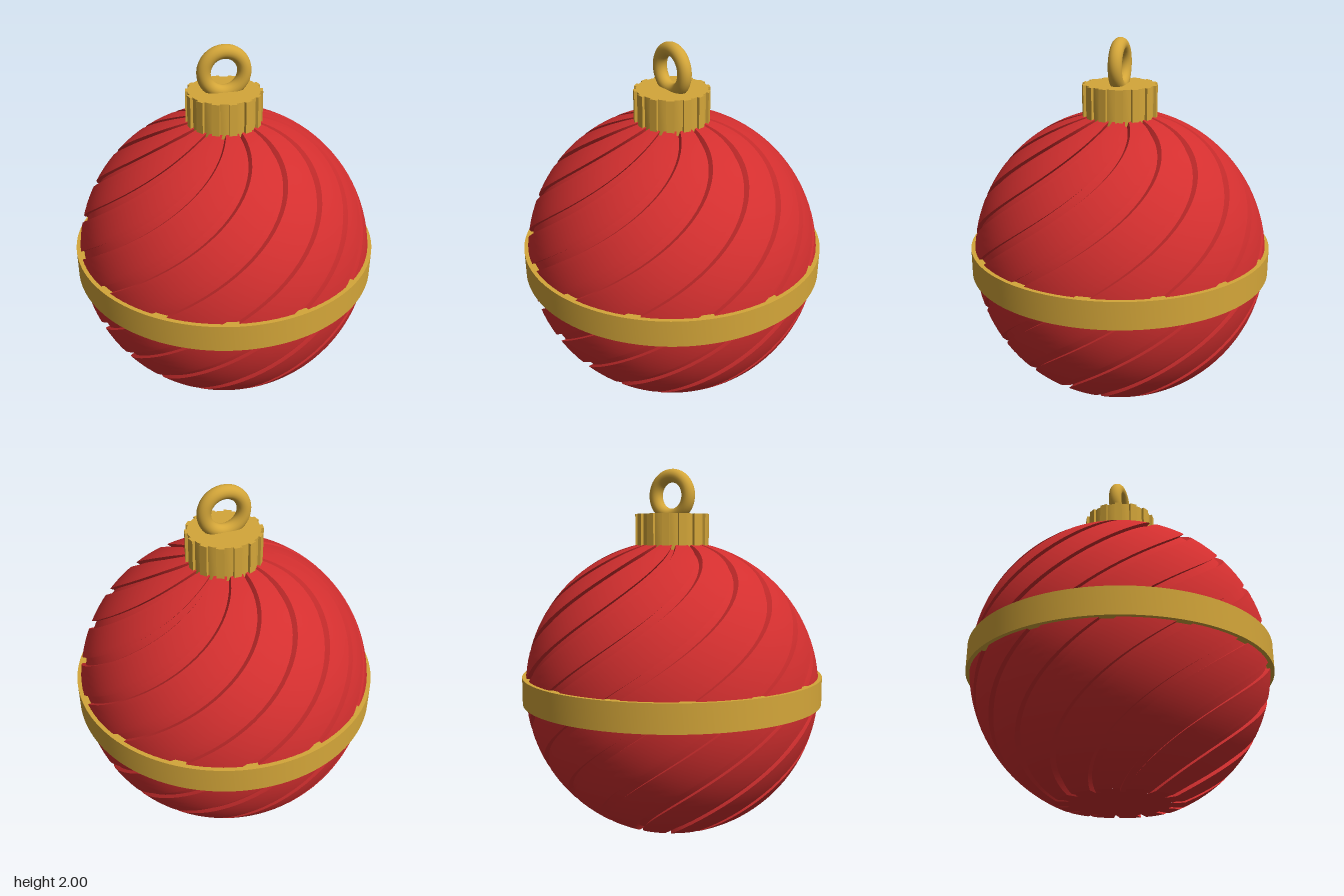
import * as THREE from 'three';
import { mergeGeometries, toCreasedNormals } from 'three/addons/utils/BufferGeometryUtils.js';

const RADIUS = 0.837, CENTRE = 0.765, DEPTH = 0.025;
const GROOVES = 14, STEP = (Math.PI * 2) / GROOVES;
const HALF_GROOVE = 0.05;
const TWIST = 1.78; // radians per unit of height
const turn = (y) => -0.65 + TWIST * (y - 0.84);

// Point on the ball, t from top (0) to the flat foot (1), twisted with height
function ballPoint(t, angle, radius) {
  const foot = Math.acos(-CENTRE / radius);
  const phi = 0.1 + (foot - 0.1) * t;
  const y = CENTRE + radius * Math.cos(phi);
  const r = radius * Math.sin(phi), a = angle + turn(y);
  return [r * Math.sin(a), y, r * Math.cos(a)];
}

// Spiral strip between two angles and two radii
function strip(a0, r0, a1, r1, cols, rows = 56) {
  const pos = [], index = [];
  for (let i = 0; i <= rows; i++) {
    for (let j = 0; j <= cols; j++) {
      const k = j / cols;
      pos.push(...ballPoint(i / rows, a0 + (a1 - a0) * k, r0 + (r1 - r0) * k));
      if (i < rows && j < cols) {
        const a = i * (cols + 1) + j, c = a + cols + 1;
        index.push(a, c, a + 1, a + 1, c, c + 1);
      }
    }
  }
  const g = new THREE.BufferGeometry();
  g.setAttribute('position', new THREE.Float32BufferAttribute(pos, 3));
  g.setIndex(index);
  g.computeVertexNormals();
  return g;
}

// Extrude a plan shape upward from y0 to y1 with crisp edges
function upright(shape, y0, y1, segments) {
  const g = new THREE.ExtrudeGeometry(shape, { depth: y1 - y0, bevelEnabled: false, curveSegments: segments });
  g.rotateX(-Math.PI / 2);
  g.translate(0, y0, 0);
  return toCreasedNormals(g, 0.3);
}

export function createModel() {
  const group = new THREE.Group();
  const red = new THREE.MeshStandardMaterial({ color: 0xd32f2f });
  red.name = 'red';
  const gold = new THREE.MeshStandardMaterial({ color: 0xd4a639 });
  gold.name = 'gold';
  const add = (name, geometry, material) => {
    const mesh = new THREE.Mesh(geometry, material);
    mesh.name = name;
    group.add(mesh);
    return mesh;
  };

  // Ball: raised lobes separated by spiral grooves
  const lobes = [], grooves = [], foot = [];
  const inner = RADIUS - DEPTH;
  const footOut = Math.sqrt(RADIUS ** 2 - CENTRE ** 2), footIn = Math.sqrt(inner ** 2 - CENTRE ** 2);
  for (let i = 0; i < GROOVES; i++) {
    const a = i * STEP, l = a - HALF_GROOVE, r = a + HALF_GROOVE, next = l + STEP;
    lobes.push(strip(r, RADIUS, next, RADIUS, 6));
    grooves.push(strip(l, RADIUS, l, inner, 1), strip(l, inner, r, inner, 2), strip(r, inner, r, RADIUS, 1));
    const at = (angle, rad) => new THREE.Vector2(rad * Math.sin(angle + turn(0)), rad * Math.cos(angle + turn(0)));
    foot.push(at(l, footOut), at(l, footIn), at(r, footIn), at(r, footOut));
    for (let k = 1; k < 5; k++) foot.push(at(r + ((next - r) * k) / 5, footOut));
  }
  add('ballLobes', mergeGeometries(lobes), red);
  add('ballGrooves', mergeGeometries(grooves), red);

  // Flat scalloped foot
  add('foot', new THREE.ShapeGeometry(new THREE.Shape(foot)).rotateX(Math.PI / 2), red);

  // Band round the middle
  const ring = new THREE.Shape().absarc(0, 0, 0.855, 0, Math.PI * 2, false);
  ring.holes.push(new THREE.Path().absarc(0, 0, 0.815, 0, Math.PI * 2, true));
  add('band', upright(ring, 0.69, 0.843, 64), gold);

  // Cap with small ribs
  const capPoints = [];
  for (let i = 0; i < GROOVES; i++) {
    const a = i * STEP + Math.PI / 2;
    for (const [da, r] of [[-0.11, 0.193], [-0.1, 0.208], [0.1, 0.208], [0.11, 0.193], [STEP / 2, 0.195]]) {
      capPoints.push(new THREE.Vector2(r * Math.cos(a + da), r * Math.sin(a + da)));
    }
  }
  add('cap', upright(new THREE.Shape(capPoints), 1.553, 1.75, 1), gold);

  // Hanging loop
  add('loop', new THREE.TorusGeometry(0.11, 0.038, 20, 56), gold).position.y = 1.852;

  return group;
}
